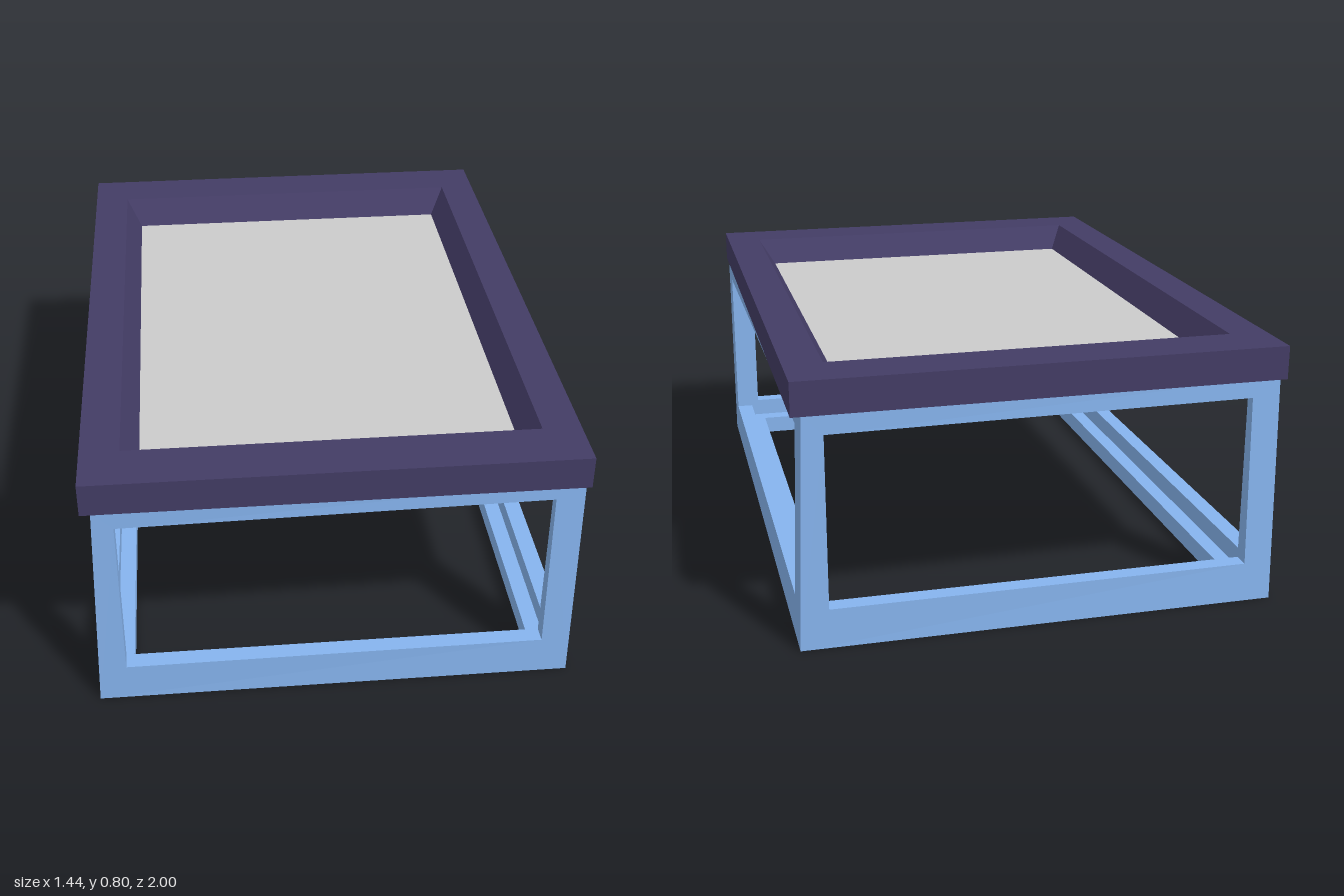
import * as THREE from 'three';

const HX = 0.715, HZ = 0.99, TOP = 0.7; // base half sizes and height
const T = 0.055;                        // wall thickness

const blue = new THREE.MeshStandardMaterial({ color: 0x86b4ee });
const purple = new THREE.MeshStandardMaterial({ color: 0x433c65 });
const grey = new THREE.MeshStandardMaterial({ color: 0xcccccc, side: THREE.DoubleSide });

// Sweeps a closed profile of [halfX, halfZ, y] around a rectangle
function rectRing(profile) {
  const corners = [[1, 1], [1, -1], [-1, -1], [-1, 1]];
  const at = (i, c) => {
    const [x, z, y] = profile[i % profile.length];
    const [sx, sz] = corners[c % 4];
    return [x * sx, y, z * sz];
  };
  const pos = [];
  for (let i = 0; i < profile.length; i++) {
    for (let c = 0; c < 4; c++) {
      const a = at(i, c), b = at(i, c + 1), d = at(i + 1, c + 1), e = at(i + 1, c);
      pos.push(...a, ...b, ...d, ...a, ...d, ...e);
    }
  }
  const geo = new THREE.BufferGeometry();
  geo.setAttribute('position', new THREE.Float32BufferAttribute(pos, 3));
  geo.computeVertexNormals();
  return geo;
}

// Wall with a rectangular window, mitred at its ends and slightly twisted towards the top
function wall(half, dist, windowHalf, angle) {
  const shape = new THREE.Shape([[-half, 0], [half, 0], [half, TOP], [-half, TOP]]
    .map(([x, y]) => new THREE.Vector2(x, y)));
  shape.holes.push(new THREE.Path([[-windowHalf, 0.12], [-windowHalf, 0.64], [windowHalf, 0.64], [windowHalf, 0.12]]
    .map(([x, y]) => new THREE.Vector2(x, y))));
  const geo = new THREE.ExtrudeGeometry(shape, { depth: T, bevelEnabled: false });
  const p = geo.attributes.position;
  for (let i = 0; i < p.count; i++) {
    let u = p.getX(i), w = p.getZ(i) + dist - T;
    const y = p.getY(i);
    const lean = 0.025 * y / TOP;
    const end = Math.abs(u) > half - 0.001;
    if (w > dist - 0.001) {
      w -= lean * (u + half) / (2 * half);
      if (end && u < 0) u += lean; // meets the leaning neighbour
    } else if (end) {
      u -= Math.sign(u) * T;
    }
    p.setXYZ(i, u, y, w);
  }
  geo.rotateY(angle);
  geo.computeVertexNormals();
  return geo;
}

export function createModel() {
  const model = new THREE.Group();
  const add = (name, geo, mat) => {
    const mesh = new THREE.Mesh(geo, mat);
    mesh.name = name;
    model.add(mesh);
  };

  // Four open walls of the base
  ['frontWall', 'leftWall', 'backWall', 'rightWall'].forEach((name, i) => {
    const geo = i % 2 ? wall(HZ, HX, 0.875, i * Math.PI / 2) : wall(HX, HZ, 0.63, i * Math.PI / 2);
    add(name, geo, blue);
  });

  // Inner ledge along the floor
  add('bottomLedge', rectRing([
    [0.61, 0.88, 0], [HX - T, HZ - T, 0], [HX - T, HZ - T, 0.06], [0.61, 0.88, 0.06],
  ]), blue);

  // Table top frame with a sloped inner edge and a recessed underside
  add('topFrame', rectRing([
    [0.605, 0.84, 0.8], [0.555, 0.77, 0.72], [0.64, 0.86, 0.72],
    [0.64, 0.86, 0.7], [0.72, 1, 0.7], [0.72, 1, 0.8],
  ]), purple);

  // Inset panel
  add('topPanel', new THREE.PlaneGeometry(1.11, 1.54).rotateX(-Math.PI / 2).translate(0, 0.72, 0), grey);

  return model;
}
